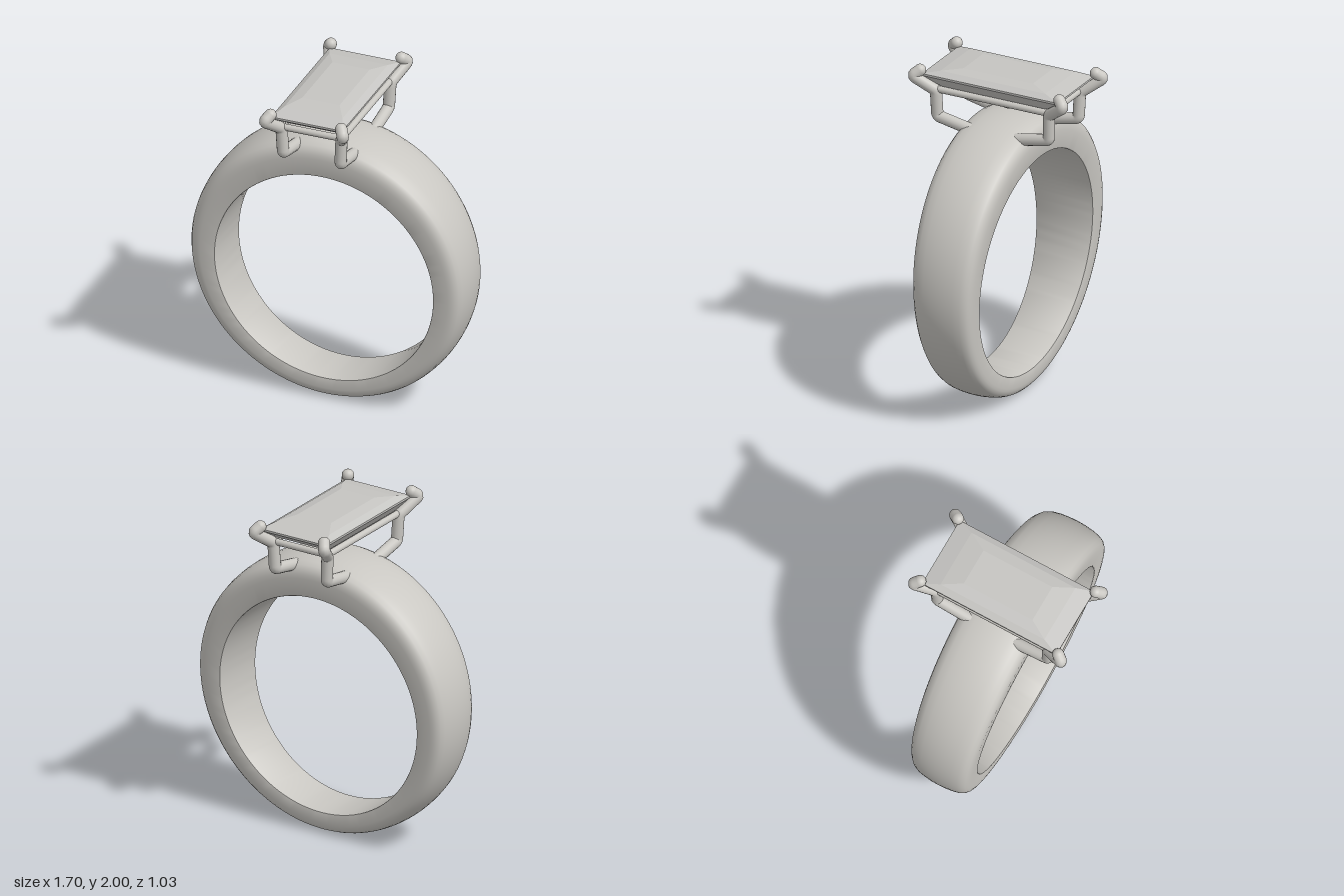
import * as THREE from 'three';
import { toCreasedNormals } from 'three/addons/utils/BufferGeometryUtils.js';

// Skin a list of closed cross-sections (rows of [x, y, z] points).
function loft(rows, closeRows) {
  const n = rows[0].length, index = [];
  const last = closeRows ? rows.length : rows.length - 1;
  for (let i = 0; i < last; i++) {
    const k = (i + 1) % rows.length;
    for (let j = 0; j < n; j++) {
      const m = (j + 1) % n;
      const a = i * n + j, b = k * n + j, c = k * n + m, d = i * n + m;
      index.push(a, b, c, a, c, d);
    }
  }
  const geo = new THREE.BufferGeometry();
  geo.setAttribute('position', new THREE.Float32BufferAttribute(rows.flat(2), 3));
  geo.setIndex(index);
  return geo;
}

// Straight runs joined by rounded bends.
function bentPath(points, bend) {
  const path = new THREE.CurvePath();
  let from = points[0];
  for (let i = 1; i < points.length - 1; i++) {
    const p = points[i];
    const before = p.clone().add(points[i - 1].clone().sub(p).setLength(bend));
    const after = p.clone().add(points[i + 1].clone().sub(p).setLength(bend));
    path.add(new THREE.LineCurve3(from, before));
    path.add(new THREE.QuadraticBezierCurve3(before, p, after));
    from = after;
  }
  path.add(new THREE.LineCurve3(from, points[points.length - 1]));
  return path;
}

// Band: domed section, thicker and wider towards the top.
function bandGeometry() {
  // [across, through]: half widths and fraction of the wall thickness
  const half = [[0.97, 0], [0.99, 0.01], [1, 0.04], [1, 0.5], [0.985, 0.62], [0.945, 0.74],
    [0.86, 0.84], [0.72, 0.91], [0.5, 0.96], [0.25, 0.99]];
  const profile = [...half, [0, 1], ...half.map(([s, t]) => [-s, t]).reverse()];
  const rows = [], steps = 128;
  for (let i = 0; i < steps; i++) {
    const a = (i / steps) * Math.PI * 2;
    rows.push(profile.map(([s, t]) => {
      const r = THREE.MathUtils.lerp(0.6725, 0.852, t);
      const y = THREE.MathUtils.lerp(0.8125, 0.856, t) + r * Math.cos(a);
      return [r * Math.sin(a), y, s * (0.143 + 0.051 * y)];
    }));
  }
  return toCreasedNormals(loft(rows, true), 0.6);
}

// Step-cut stone: rectangles [half width, half depth, height] from tip to table.
function stoneGeometry() {
  const layers = [[0, 0, 1.735], [0.17, 0.34, 1.87], [0.22, 0.44, 1.935], [0.22, 0.44, 1.947],
    [0.18, 0.34, 1.97], [0.115, 0.225, 1.985], [0, 0, 1.985]];
  const rows = layers.map(([w, d, y]) => [[w, y, d], [-w, y, d], [-w, y, -d], [w, y, -d]]);
  const geo = loft(rows, false).toNonIndexed();
  geo.computeVertexNormals();
  return geo;
}

export function createModel() {
  const metal = new THREE.MeshStandardMaterial({ color: 0xc9c7c2 });
  metal.name = 'metal';
  const gem = new THREE.MeshStandardMaterial({ color: 0xc5c4c1 });
  gem.name = 'gem';

  const model = new THREE.Group();
  model.name = 'ring';
  const add = (name, geo, mat, parent = model) => {
    const mesh = new THREE.Mesh(geo, mat);
    mesh.name = name;
    parent.add(mesh);
    return mesh;
  };

  add('band', bandGeometry(), metal);
  add('stone', stoneGeometry(), gem);

  // Four bent prongs with rounded tips
  const prongLine = [[0.172, 1.64, 0.14], [0.177, 1.685, 0.362], [0.185, 1.845, 0.367],
    [0.243, 1.935, 0.488], [0.218, 1.967, 0.452]];
  const radius = 0.035;
  for (const sx of [1, -1]) {
    for (const sz of [1, -1]) {
      const prong = new THREE.Group();
      prong.name = (sz > 0 ? 'front' : 'back') + (sx > 0 ? 'Left' : 'Right') + 'Prong';
      const pts = prongLine.map(([x, y, z]) => new THREE.Vector3(x * sx, y, z * sz));
      add('prongWire', new THREE.TubeGeometry(bentPath(pts, 0.02), 90, radius, 16), metal, prong);
      for (const end of [pts[0], pts[pts.length - 1]]) {
        add('prongEnd', new THREE.SphereGeometry(radius, 16, 12), metal, prong).position.copy(end);
      }
      model.add(prong);
    }
  }

  // Rectangular gallery of thin rails between the prongs
  for (const s of [1, -1]) {
    const cross = add(s > 0 ? 'frontRail' : 'backRail',
      new THREE.CylinderGeometry(0.02, 0.02, 0.37, 16), metal);
    cross.rotation.z = Math.PI / 2;
    cross.position.set(0, 1.855, s * 0.367);
    const side = add(s > 0 ? 'leftRail' : 'rightRail',
      new THREE.CylinderGeometry(0.02, 0.02, 0.734, 16), metal);
    side.rotation.x = Math.PI / 2;
    side.position.set(s * 0.185, 1.855, 0);
  }
  return model;
}
